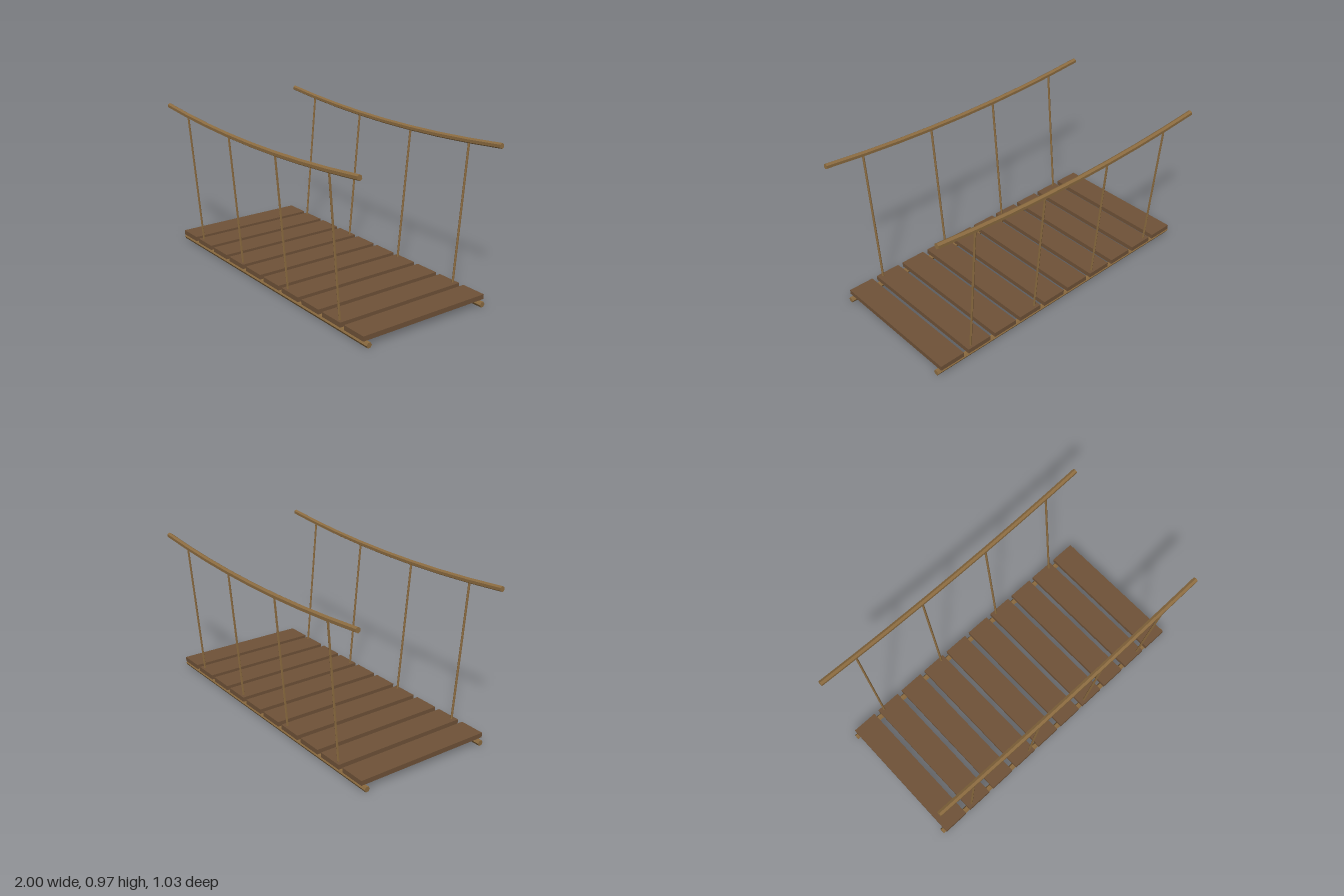
import * as THREE from 'three';

const plankWood = new THREE.MeshStandardMaterial({ name: 'plank wood', color: 0x6f5238, flatShading: true });
const ropeTan = new THREE.MeshStandardMaterial({ name: 'rope tan', color: 0x8b6b40, flatShading: true });

const SAG = 0.05, RAIL_LOW = 0.9;
const railHeight = (x) => RAIL_LOW + SAG * x * x;

function add(parent, name, geometry, material) {
  const mesh = new THREE.Mesh(geometry, material);
  mesh.name = name;
  parent.add(mesh);
  return mesh;
}

// straight rope between two points
function rope(parent, name, a, b, radius, sides) {
  const dir = b.clone().sub(a);
  const mesh = add(parent, name, new THREE.CylinderGeometry(radius, radius, dir.length(), sides), ropeTan);
  mesh.position.copy(a).add(b).multiplyScalar(0.5);
  mesh.quaternion.setFromUnitVectors(new THREE.Vector3(0, 1, 0), dir.normalize());
  return mesh;
}

// sagging handrail: a hexagon swept along a shallow curve
function handrailGeometry(z) {
  const hexagon = new THREE.Shape();
  for (let i = 0; i < 6; i++) {
    const a = Math.PI / 2 + (i * Math.PI) / 3;
    const x = 0.017 * Math.cos(a), y = 0.017 * Math.sin(a);
    if (i === 0) hexagon.moveTo(x, y);
    else hexagon.lineTo(x, y);
  }
  const path = new THREE.QuadraticBezierCurve3(
    new THREE.Vector3(-1, railHeight(1), z),
    new THREE.Vector3(0, RAIL_LOW - SAG, z),
    new THREE.Vector3(1, railHeight(1), z)
  );
  return new THREE.ExtrudeGeometry(hexagon, { steps: 8, extrudePath: path });
}

export function createModel() {
  const model = new THREE.Group();
  model.name = 'ropeBridge';

  // walking planks
  const deck = new THREE.Group();
  deck.name = 'deck';
  model.add(deck);
  const plankGeometry = new THREE.BoxGeometry(0.165, 0.03, 0.893);
  for (let i = 0; i < 10; i++) {
    add(deck, 'plank', plankGeometry, plankWood).position.set(-0.9 + i * 0.2, 0.053, 0);
  }

  // ropes on both sides
  for (const s of [1, -1]) {
    const side = new THREE.Group();
    side.name = s > 0 ? 'frontRopes' : 'backRopes';
    model.add(side);

    const footRope = add(side, 'footRope', new THREE.CylinderGeometry(0.018, 0.018, 2, 6), ropeTan);
    footRope.rotation.z = Math.PI / 2;
    footRope.position.set(0, 0.0156, s * 0.42);

    add(side, 'handrail', handrailGeometry(s * 0.5), ropeTan);

    for (const x of [-0.75, -0.25, 0.25, 0.75]) {
      rope(side, 'hanger',
        new THREE.Vector3(x, 0.016, s * 0.42),
        new THREE.Vector3(x, railHeight(x), s * 0.5), 0.007, 6);
    }
  }
  return model;
}
